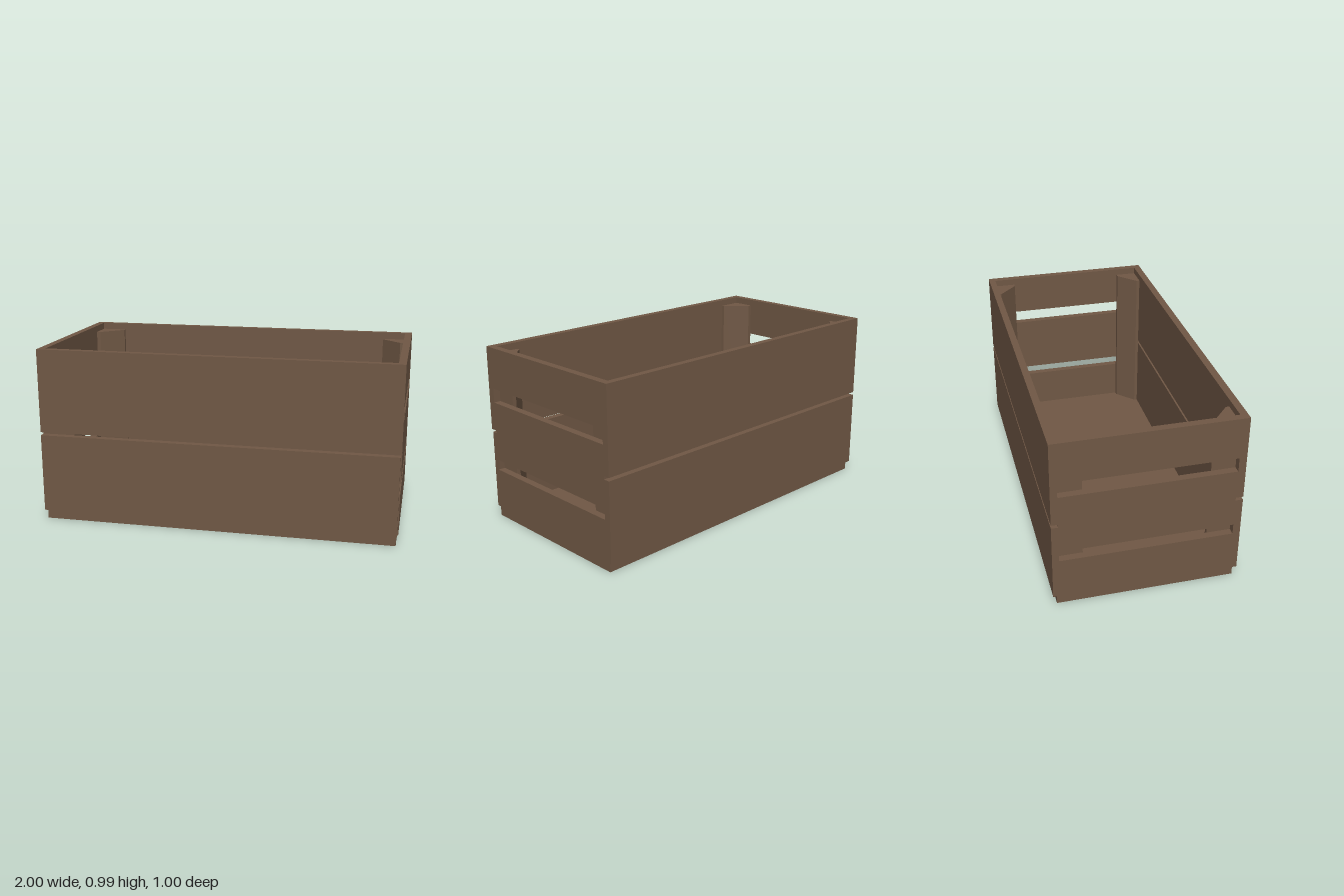
import * as THREE from 'three';

export function createModel() {
  const crate = new THREE.Group();
  crate.name = 'crate';
  const wood = new THREE.MeshStandardMaterial({ color: 0x705845 });
  wood.name = 'brownWood';

  // Board given by its minimum and maximum corners
  function board(name, [x0, y0, z0], [x1, y1, z1]) {
    const mesh = new THREE.Mesh(new THREE.BoxGeometry(x1 - x0, y1 - y0, z1 - z0), wood);
    mesh.name = name;
    mesh.position.set((x0 + x1) / 2, (y0 + y1) / 2, (z0 + z1) / 2);
    crate.add(mesh);
  }

  // Floor, slightly inset from the walls
  board('floor', [-0.99, 0, -0.48], [0.99, 0.055, 0.48]);

  // Two wide boards on each long side; the lower front one is a touch short
  board('frontLowerBoard', [-1, 0.055, 0.46], [0.994, 0.5, 0.5]);
  board('frontUpperBoard', [-1, 0.518, 0.46], [1, 0.99, 0.5]);
  board('backLowerBoard', [-1, 0.055, -0.5], [1, 0.5, -0.463]);
  board('backUpperBoard', [-1, 0.518, -0.5], [1, 0.99, -0.463]);

  // Three slats at each end, fitted between the long boards
  const slats = [['Lower', 0.055, 0.286], ['Middle', 0.345, 0.68], ['Upper', 0.76, 0.99]];
  for (const [level, y0, y1] of slats) {
    board(`left${level}Slat`, [0.96, y0, -0.463], [1, y1, 0.46]);
    board(`right${level}Slat`, [-1, y0, -0.463], [-0.96, y1, 0.46]);
  }

  // Corner posts: triangular section with blunted tips
  const bottom = 0.055, top = 0.952, blunt = 0.018;
  for (const sx of [-1, 1]) {
    for (const sz of [-1, 1]) {
      const w = sx < 0 ? 0.145 : 0.13;
      const d = sx < 0 ? 0.13 : 0.12;
      const cx = sx * 0.96, cz = sz < 0 ? -0.463 : 0.46;
      const section = [[0, 0], [w, 0], [w, blunt], [blunt + 0.005, d], [0, d]];
      // Shape y becomes -z once the extrusion is stood upright
      const shape = new THREE.Shape(
        section.map(([a, b]) => new THREE.Vector2(cx - sx * a, -(cz - sz * b))));
      const geometry = new THREE.ExtrudeGeometry(shape, { depth: top - bottom, bevelEnabled: false });
      geometry.rotateX(-Math.PI / 2).translate(0, bottom, 0);
      const post = new THREE.Mesh(geometry, wood);
      post.name = `${sz > 0 ? 'front' : 'back'}${sx > 0 ? 'Left' : 'Right'}Post`;
      crate.add(post);
    }
  }
  return crate;
}
